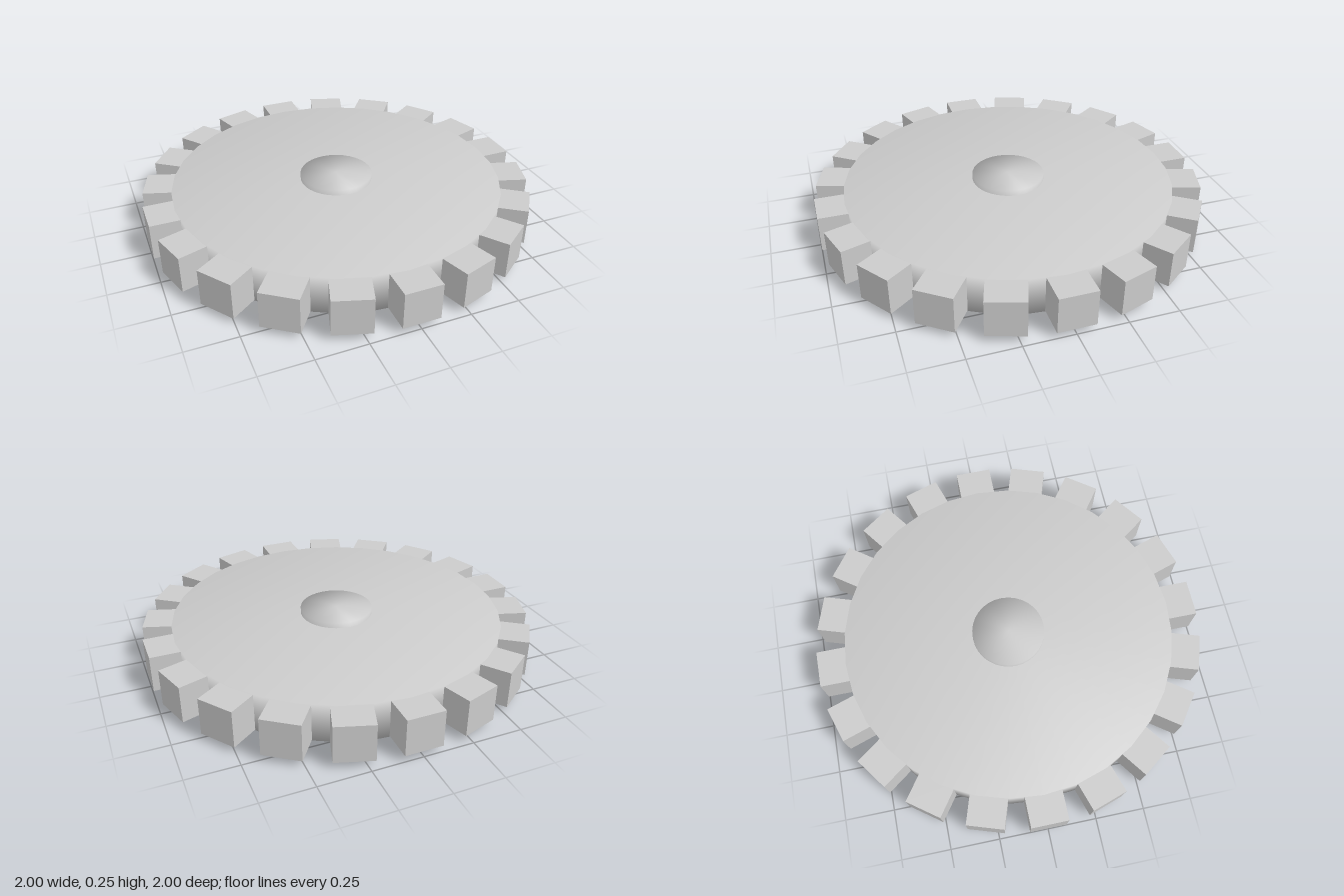
import * as THREE from 'three';

const MID = 0.126; // height of the wheel's middle plane
const TEETH = 20;
const TOOTH = 0.188; // edge length of a tooth

export function createModel() {
  const model = new THREE.Group();
  model.name = 'gearWheel';
  const smooth = new THREE.MeshStandardMaterial({ color: 0xcccccc });
  const faceted = new THREE.MeshStandardMaterial({ color: 0xcccccc, flatShading: true });

  // Closed round slab whose shading runs smoothly over the rim
  const addSlab = (name, radius, halfHeight) => {
    const profile = [[0, -halfHeight], [radius, -halfHeight], [radius, halfHeight], [0, halfHeight]]
      .map(([x, y]) => new THREE.Vector2(x, y));
    const slab = new THREE.Mesh(new THREE.LatheGeometry(profile, 32), smooth);
    slab.name = name;
    slab.position.y = MID;
    model.add(slab);
  };
  addSlab('disc', 0.858, 0.098);
  addSlab('hub', 0.188, MID);

  // Ring of cube teeth, sunk a little into the disc
  const teeth = new THREE.Group();
  teeth.name = 'teeth';
  const toothGeometry = new THREE.BoxGeometry(TOOTH, TOOTH, TOOTH);
  const ring = 1 - TOOTH / 2;
  for (let i = 0; i < TEETH; i++) {
    const angle = (i / TEETH) * Math.PI * 2;
    const tooth = new THREE.Mesh(toothGeometry, faceted);
    tooth.name = 'tooth';
    tooth.position.set(Math.sin(angle) * ring, MID, Math.cos(angle) * ring);
    tooth.rotation.y = angle;
    teeth.add(tooth);
  }
  model.add(teeth);
  return model;
}
